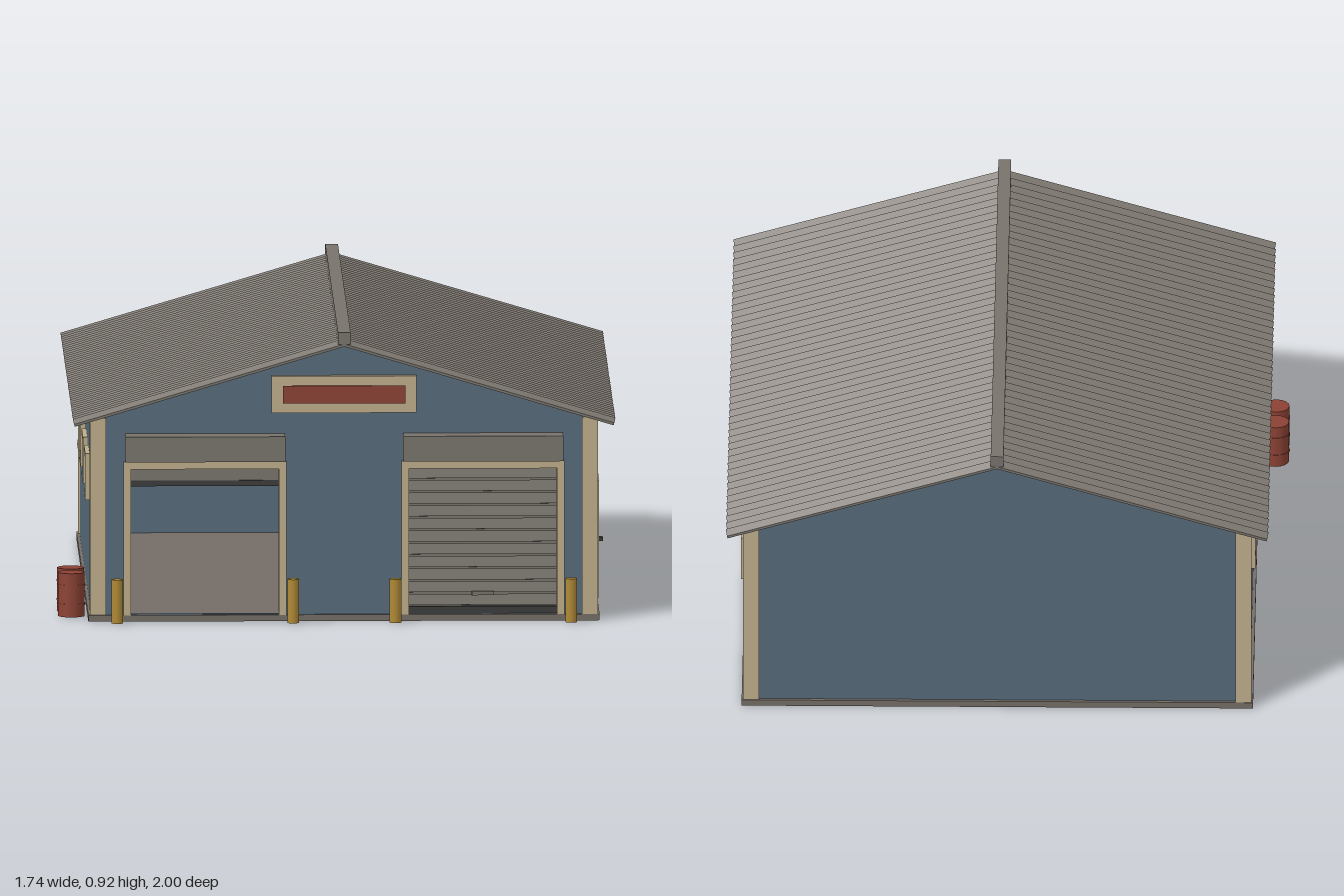
import * as THREE from 'three';

const mat = (name, color) => {
  const m = new THREE.MeshStandardMaterial({ color });
  m.name = name;
  return m;
};

export function createModel() {
  const blue = mat('wall blue', 0x566b7a);
  const tan = mat('trim tan', 0xbfae8c);
  const grey = mat('roof grey', 0x79736c);
  const concrete = mat('concrete', 0x756d67);
  const red = mat('rust red', 0x8c4234);
  const gold = mat('bollard yellow', 0xb08a35);
  const glass = mat('window glass', 0x35444d);
  const dark = mat('dark metal', 0x3c3b3b);

  const model = new THREE.Group();
  model.name = 'warehouse';
  const CX = 0.02, CZ = -0.005, HW = 0.79, HD = 0.927;
  const SLOPE = 0.2975, RIDGE = 0.884;

  const add = (parent, name, geo, material, x = 0, y = 0, z = 0) => {
    const m = new THREE.Mesh(geo, material);
    m.name = name;
    m.position.set(x, y, z);
    parent.add(m);
    return m;
  };
  const box = (parent, name, material, w, h, d, x, y, z) =>
    add(parent, name, new THREE.BoxGeometry(w, h, d), material, x, y, z);
  const group = (name, x, y, z, ry = 0) => {
    const g = new THREE.Group();
    g.name = name;
    g.position.set(x, y, z);
    g.rotation.y = ry;
    model.add(g);
    return g;
  };
  const rectPath = (x0, y0, x1, y1) => new THREE.Path([
    new THREE.Vector2(x0, y0), new THREE.Vector2(x0, y1),
    new THREE.Vector2(x1, y1), new THREE.Vector2(x1, y0)]);
  const extrude = (shape, depth) => new THREE.ExtrudeGeometry(shape, { depth, bevelEnabled: false });
  // rectangular ring centred on the origin, standing in the xy plane
  const ring = (w, h, t, depth) => {
    const s = new THREE.Shape(rectPath(-w / 2, -h / 2, w / 2, h / 2).getPoints());
    s.holes.push(rectPath(-w / 2 + t, -h / 2 + t, w / 2 - t, h / 2 - t));
    return extrude(s, depth);
  };

  // floor slab
  box(model, 'floorSlab', concrete, 1.6, 0.02, 1.875, CX, 0.01, CZ);

  // gable end walls; the front has two door openings
  const DOOR = 0.435;
  const gable = (openings) => {
    const s = new THREE.Shape();
    s.moveTo(-HW, 0.02).lineTo(HW, 0.02).lineTo(HW, 0.637).lineTo(0, 0.872).lineTo(-HW, 0.637).closePath();
    for (const x of openings) s.holes.push(rectPath(x - 0.232, 0.021, x + 0.232, 0.482));
    return extrude(s, 0.025);
  };
  add(model, 'frontWall', gable([-DOOR, DOOR]), blue, CX, 0, CZ + HD - 0.025);
  add(model, 'backWall', gable([]), blue, CX, 0, CZ - HD);

  // side walls and corner posts
  for (const s of [-1, 1]) {
    box(model, 'sideWall', blue, 0.025, 0.617, 2 * HD - 0.05, CX + s * (HW - 0.0125), 0.3285, CZ);
    for (const t of [-1, 1])
      box(model, 'cornerPost', tan, 0.05, 0.622, 0.05, CX + s * 0.77, 0.331, CZ + t * 0.91);
  }

  // corrugated roof sheets
  const RIBS = 45, LEN = 1.972;
  const top = [], bottom = [];
  for (let i = 0; i <= RIBS * 2; i++) {
    const x = -LEN / 2 + (LEN * i) / (RIBS * 2);
    const y = i % 2 ? 0.007 : -0.007;
    top.push(new THREE.Vector2(x, y + 0.004));
    bottom.push(new THREE.Vector2(x, y - 0.004));
  }
  const tilt = Math.atan(SLOPE);
  const sheet = extrude(new THREE.Shape([...bottom, ...top.reverse()]), 0.846 / Math.cos(tilt));
  sheet.rotateY(Math.PI / 2).rotateZ(-tilt);
  add(model, 'roofRight', sheet, grey, CX, RIDGE, -0.012);
  add(model, 'roofLeft', sheet, grey, CX, RIDGE, -0.012).rotation.y = Math.PI;
  box(model, 'ridgeCap', grey, 0.04, 0.037, 1.978, CX, 0.899, -0.011);

  // door surrounds and shutter housings
  const FZ = CZ + HD;
  for (const s of [-1, 1]) {
    const d = group(s < 0 ? 'openDoor' : 'shutterDoor', CX + s * DOOR, 0, FZ);
    for (const t of [-1, 1]) box(d, 'doorJamb', tan, 0.024, 0.485, 0.04, t * 0.243, 0.2625, -0.008);
    box(d, 'doorHeader', tan, 0.51, 0.024, 0.04, 0, 0.493, -0.008);
    box(d, 'shutterHousing', grey, 0.5, 0.08, 0.076, 0, 0.552, 0.038);
    if (s < 0) {
      // raised curtain
      box(d, 'raisedShutter', grey, 0.464, 0.04, 0.015, 0, 0.462, -0.015);
      box(d, 'bottomBar', dark, 0.464, 0.018, 0.018, 0, 0.434, -0.015);
    } else {
      // closed curtain of tilted slats
      box(d, 'shutterBacking', grey, 0.464, 0.46, 0.008, 0, 0.252, -0.022);
      for (let i = 0; i < 11; i++)
        box(d, 'shutterSlat', grey, 0.464, 0.034, 0.008, 0, 0.064 + i * 0.04, -0.013).rotation.x = -0.15;
      box(d, 'bottomBar', dark, 0.464, 0.022, 0.018, 0, 0.032, -0.012);
      box(d, 'shutterHandle', grey, 0.07, 0.012, 0.014, 0, 0.085, -0.004);
    }
  }

  // sign board
  const sign = group('signBoard', CX, 0.717, FZ);
  box(sign, 'signFrame', tan, 0.453, 0.116, 0.02, 0, 0, 0.01);
  box(sign, 'signPanel', red, 0.383, 0.056, 0.006, 0, 0, 0.022);

  // windows
  const addWindow = (side, z) => {
    const w = group('window', CX + side * HW, 0.416, z, side * Math.PI / 2);
    box(w, 'windowGlass', glass, 0.18, 0.137, 0.006, 0, 0, 0.002);
    add(w, 'windowFrame', ring(0.19, 0.146, 0.017, 0.014), tan);
    box(w, 'windowMullion', tan, 0.008, 0.12, 0.01, 0, 0, 0.005);
    box(w, 'windowRail', tan, 0.16, 0.008, 0.01, 0, 0, 0.005);
  };
  for (const z of [0.083, -0.283, -0.65]) addWindow(1, z);
  for (const z of [0.543, 0.175, -0.192, -0.56]) addWindow(-1, z);

  // side door
  const sd = group('sideDoor', CX + HW, 0.02, 0.439, Math.PI / 2);
  for (const t of [-1, 1]) box(sd, 'sideDoorJamb', tan, 0.02, 0.37, 0.02, t * 0.116, 0.185, 0.006);
  box(sd, 'sideDoorHeader', tan, 0.252, 0.02, 0.02, 0, 0.36, 0.006);
  box(sd, 'sideDoorPanel', tan, 0.212, 0.35, 0.012, 0, 0.175, 0.003);
  box(sd, 'sideDoorHandle', dark, 0.028, 0.012, 0.02, -0.07, 0.178, 0.018);

  // bollards
  for (const x of [-0.69, -0.14, 0.18, 0.73])
    add(model, 'bollard', new THREE.CylinderGeometry(0.019, 0.019, 0.138, 10).toNonIndexed(), gold, x, 0.071, 0.981);

  // barrels with hoops
  for (const z of [0.705, 0.81]) {
    const b = group('barrel', -0.831, 0, z);
    add(b, 'barrelBody', new THREE.CylinderGeometry(0.042, 0.042, 0.138, 16), red, 0, 0.071, 0);
    for (const y of [0.04, 0.1])
      add(b, 'barrelHoop', new THREE.CylinderGeometry(0.044, 0.044, 0.006, 16), red, 0, y, 0);
  }
  return model;
}
